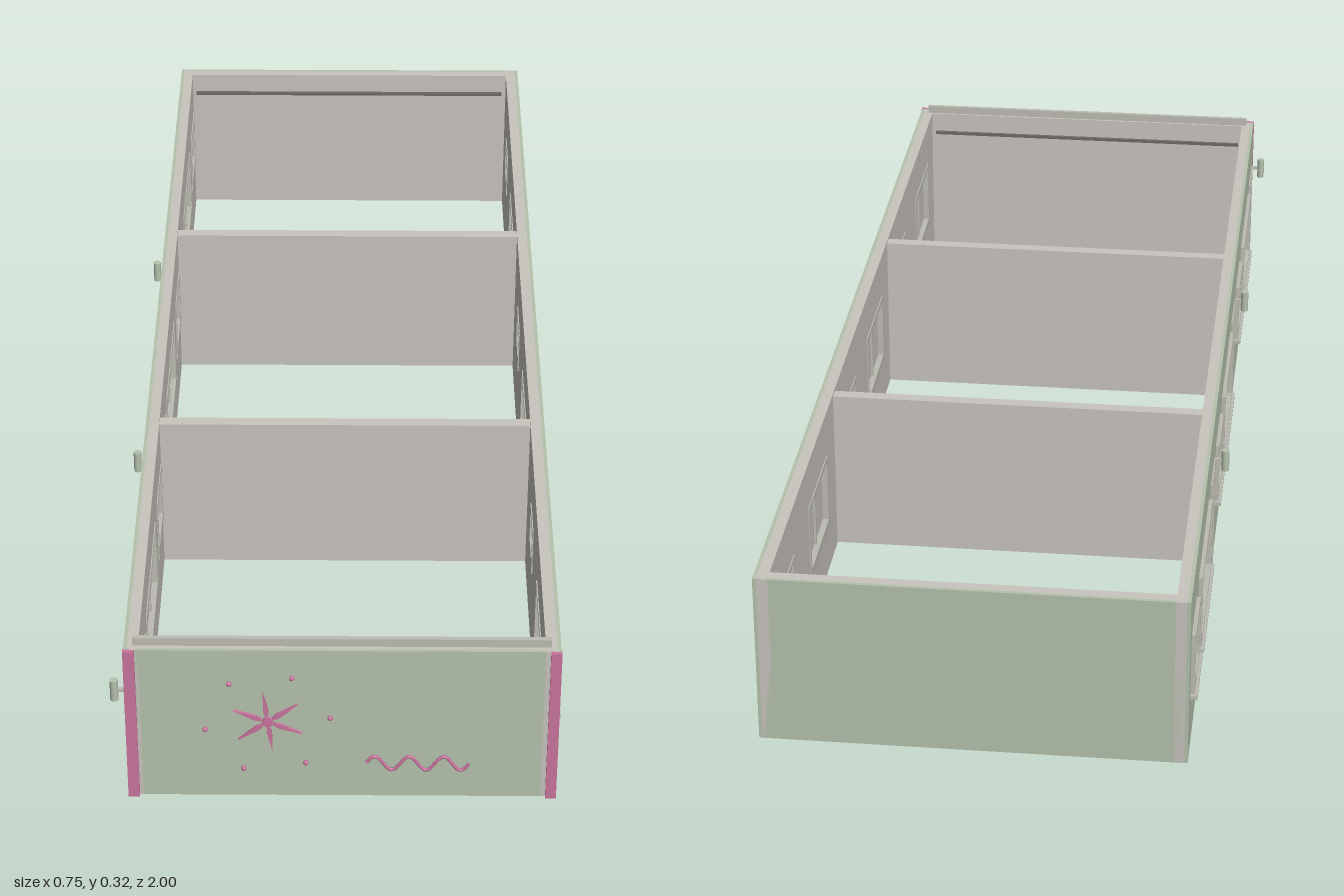
import * as THREE from 'three';

const mat = (name, color) => {
  const m = new THREE.MeshStandardMaterial({ color });
  m.name = name;
  return m;
};

export function createModel() {
  const green = mat('sage wall', 0xb5c1ac);
  const grey = mat('inner plaster', 0xc8c4be);
  const trim = mat('trim', 0xbdbcb3);
  const glass = mat('window pane', 0xc9c5c1);
  const light = mat('small window pane', 0xdfdcd4);
  const pink = mat('pink', 0xc8749d);
  const dark = mat('dark rail', 0x6d6b66);
  const root = new THREE.Group();

  const add = (name, geo, m, parent = root) => {
    const mesh = new THREE.Mesh(geo, m);
    mesh.name = name;
    parent.add(mesh);
    return mesh;
  };
  // box given by its limits on each axis
  const box = (name, m, x0, x1, y0, y1, z0, z1, parent) => {
    const b = add(name, new THREE.BoxGeometry(Math.abs(x1 - x0), y1 - y0, z1 - z0), m, parent);
    b.position.set((x0 + x1) / 2, (y0 + y1) / 2, (z0 + z1) / 2);
    return b;
  };

  const H = 0.307, BACK = -1, FRONT = 0.988;

  // openings: [z0, z1, y0, y1]
  const rightBig = [[0.67, 0.88], [0.02, 0.23], [-0.635, -0.43]].map(([a, b]) => [a, b, 0.092, 0.225]);
  const rightSmall = [[0.453, 0.543], [-0.2, -0.107], [-0.862, -0.772]].map(([a, b]) => [a, b, 0.143, 0.218]);
  // fit the large openings to the long facade
  rightBig[0][0] = 0.69; rightBig[1][0] = 0.035; rightBig[2][0] = -0.623;
  const leftBig = [[-0.785, -0.515], [-0.13, 0.14], [0.525, 0.795]].map(([a, b]) => [a, b, 0.092, 0.225]);
  const leftSmall = [[-0.963, -0.842], [-0.315, -0.19], [0.343, 0.467]].map(([a, b]) => [a, b, 0.112, 0.222]);
  const doors = [[-0.465, -0.365], [0.185, 0.285], [0.84, 0.94]];
  const DOOR_H = 0.225;

  // long wall layer: outline with door notches and window holes, extruded along -x
  const longWall = (name, m, xMax, depth, windows, doorList) => {
    const s = new THREE.Shape();
    s.moveTo(BACK, 0);
    for (const [a, b] of doorList) {
      s.lineTo(a, 0);
      s.lineTo(a, DOOR_H);
      s.lineTo(b, DOOR_H);
      s.lineTo(b, 0);
    }
    s.lineTo(FRONT, 0);
    s.lineTo(FRONT, H);
    s.lineTo(BACK, H);
    s.closePath();
    for (const [a, b, c, d] of windows) {
      const h = new THREE.Path();
      h.moveTo(a, c);
      h.lineTo(a, d);
      h.lineTo(b, d);
      h.lineTo(b, c);
      h.closePath();
      s.holes.push(h);
    }
    const g = new THREE.ExtrudeGeometry(s, { depth, bevelEnabled: false });
    g.rotateY(-Math.PI / 2);
    add(name, g, m).position.x = xMax;
  };
  const rightOpenings = [...rightBig, ...rightSmall];
  const leftOpenings = [...leftBig, ...leftSmall];
  longWall('windowWallOuter', green, 0.363, 0.006, rightOpenings, []);
  longWall('windowWallInner', grey, 0.357, 0.019, rightOpenings, []);
  longWall('doorWallOuter', green, -0.345, 0.006, leftOpenings, doors);
  longWall('doorWallInner', grey, -0.327, 0.018, leftOpenings, doors);

  // end walls, partitions and inner rails
  box('frontWallOuter', green, -0.345, 0.357, 0, H, 0.982, FRONT);
  box('frontWallInner', grey, -0.327, 0.338, 0, H, 0.964, 0.982);
  box('frontParapet', trim, -0.336, 0.347, 0.295, 0.322, 0.968, 0.976);
  box('backWallOuter', green, -0.345, 0.357, 0, H, BACK, -0.994);
  box('backWallInner', grey, -0.327, 0.338, 0, H, -0.994, -0.976);
  box('frontRail', dark, -0.32, 0.33, 0.262, 0.268, 0.958, 0.964);
  box('backRail', dark, -0.32, 0.33, 0.262, 0.268, -0.976, -0.97);
  for (const z of [-0.335, 0.32]) box('partition', grey, -0.327, 0.338, 0, 0.302, z - 0.011, z + 0.011);

  // framed window; side is +1 or -1, xi and xo the inner and outer wall faces
  const windowUnit = ([z0, z1, y0, y1], side, pane, mullions) => {
    const g = new THREE.Group();
    g.name = 'window';
    root.add(g);
    const xi = side > 0 ? 0.336 : -0.325;
    const xo = side > 0 ? 0.369 : -0.358;
    const f = 0.008, xm = xo - side * 0.02;
    box('frameTop', trim, xi, xo, y1 - f, y1 + 0.002, z0, z1, g);
    box('frameBottom', trim, xi, xo, y0, y0 + f, z0, z1, g);
    box('frameSide', trim, xi, xo, y0 + f, y1 - f, z0, z0 + f, g);
    box('frameSide', trim, xi, xo, y0 + f, y1 - f, z1 - f, z1, g);
    box('sill', trim, xi, xo + side * 0.005, y0 - 0.007, y0, z0 - 0.008, z1 + 0.008, g);
    box('pane', pane, xm - 0.002, xm + 0.002, y0 + f, y1 - f, z0 + f, z1 - f, g);
    for (let i = 1; i <= mullions; i++) {
      const z = z0 + (z1 - z0) * i / (mullions + 1);
      box('mullion', trim, xm - 0.006, xm + 0.006, y0 + f, y1 - f, z - 0.003, z + 0.003, g);
    }
  };
  rightBig.forEach(w => windowUnit(w, 1, glass, 1));
  rightSmall.forEach(w => windowUnit(w, 1, light, 0));
  leftBig.forEach(w => windowUnit(w, -1, glass, 2));
  leftSmall.forEach(w => windowUnit(w, -1, glass, 1));

  // open doorways with frames
  for (const [a, b] of doors) {
    box('doorPost', trim, -0.354, -0.324, 0, DOOR_H, a, a + 0.007);
    box('doorPost', trim, -0.354, -0.324, 0, DOOR_H, b - 0.007, b);
    box('doorLintel', trim, -0.354, -0.324, DOOR_H - 0.007, DOOR_H, a + 0.007, b - 0.007);
  }

  // wall lamps beside the doors
  for (const z of [-0.34, 0.315, 0.97]) {
    add('lampShade', new THREE.CylinderGeometry(0.007, 0.007, 0.04, 16), green).position.set(-0.37, 0.21, z);
    box('lampArm', trim, -0.366, -0.35, 0.207, 0.213, z - 0.003, z + 0.003);
  }

  // pink corner strips
  box('cornerStrip', pink, -0.352, -0.333, 0, H, 0.985, 0.994);
  box('cornerStrip', pink, 0.346, 0.364, 0, H, 0.985, 0.994);

  // starburst with alternating rays and beads
  const star = new THREE.Group();
  star.name = 'starburst';
  star.position.set(-0.117, 0.16, FRONT);
  root.add(star);
  const hub = add('hub', new THREE.CylinderGeometry(0.009, 0.009, 0.006, 24), pink, star);
  hub.rotation.x = Math.PI / 2;
  hub.position.z = 0.003;
  const rayShape = new THREE.Shape([[0.011, -0.002], [0.022, -0.0045], [0.062, 0], [0.022, 0.0045], [0.011, 0.002]]
    .map(p => new THREE.Vector2(...p)));
  const rayGeo = new THREE.ExtrudeGeometry(rayShape, { depth: 0.005, bevelEnabled: false });
  const beadGeo = new THREE.SphereGeometry(0.0045, 16, 12);
  for (let k = 0; k < 6; k++) {
    add('ray', rayGeo, pink, star).rotation.z = THREE.MathUtils.degToRad(37 + 60 * k);
    const a = THREE.MathUtils.degToRad(7 + 60 * k);
    add('bead', beadGeo, pink, star).position.set(0.104 * Math.cos(a), 0.104 * Math.sin(a), 0.0075);
  }

  // wavy line
  const pts = [];
  for (let i = 0; i <= 48; i++) {
    const x = 0.047 + 0.171 * i / 48;
    pts.push(new THREE.Vector3(x, 0.073 + 0.014 * Math.sin(2 * Math.PI * (x - 0.0457) / 0.0573), FRONT + 0.003));
  }
  add('wavyLine', new THREE.TubeGeometry(new THREE.CatmullRomCurve3(pts), 120, 0.003, 8), pink);

  return root;
}
